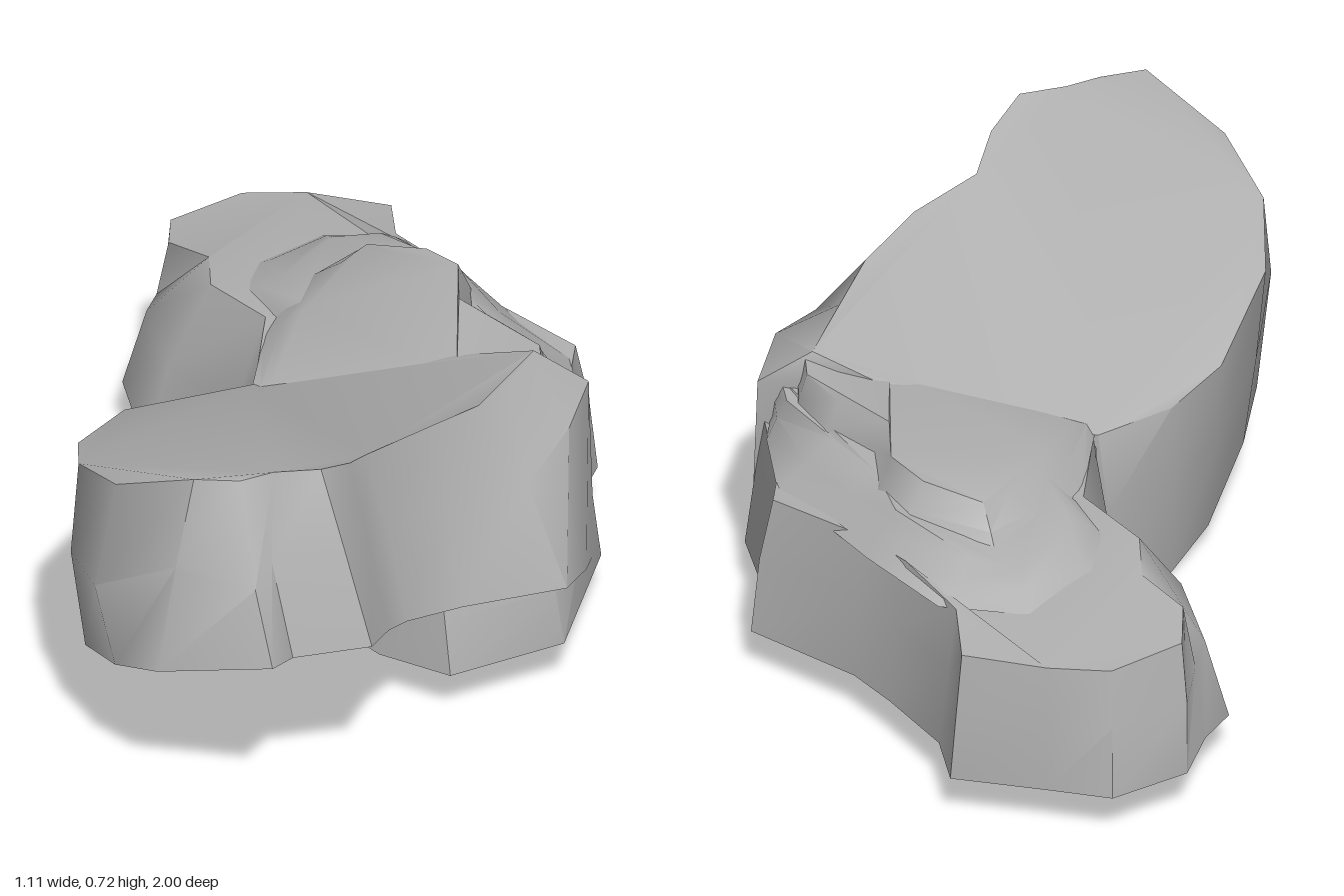
import * as THREE from 'three';
import { toCreasedNormals } from 'three/addons/utils/BufferGeometryUtils.js';

const stone = new THREE.MeshStandardMaterial({ color: 0xb0b0b0 });
stone.name = 'grey stone';

// A rock lofted through three rings: a base ring, a bulging waist and a top rim.
// Each row is [baseX, baseZ, topX, topY, topZ, (waistX, waistY, waistZ)].
function rock(name, rows, baseY, bulge) {
  const flat = rows.map(r => new THREE.Vector2(r[0], r[1]));
  if (THREE.ShapeUtils.area(flat) < 0) rows = [...rows].reverse();
  const base = rows.map(r => [r[0], baseY(r[0], r[1]), r[1]]);
  const top = rows.map(r => [r[2], r[3], r[4]]);
  const cx = top.reduce((s, p) => s + p[0], 0) / top.length;
  const cz = top.reduce((s, p) => s + p[2], 0) / top.length;
  const waist = rows.map((r, i) => {
    if (r.length > 5) return [r[5], r[6], r[7]];
    const m = base[i].map((v, k) => v * 0.45 + top[i][k] * 0.55);
    const d = Math.hypot(m[0] - cx, m[2] - cz);
    const push = bulge * (1 + 0.8 * Math.sin(i * 2.4)) / d;
    return [m[0] + (m[0] - cx) * push, m[1], m[2] + (m[2] - cz) * push];
  });

  const out = [];
  const n = rows.length;
  // Side walls
  for (const [lo, hi] of [[base, waist], [waist, top]]) {
    for (let i = 0; i < n; i++) {
      const j = (i + 1) % n;
      out.push(...lo[i], ...hi[i], ...lo[j], ...lo[j], ...hi[i], ...hi[j]);
    }
  }
  // Caps, each triangle turned to face up or down
  for (const [ring, up] of [[base, false], [top, true]]) {
    const pts = ring.map(p => new THREE.Vector2(p[0], p[2]));
    for (const [a, b, c] of THREE.ShapeUtils.triangulateShape(pts, [])) {
      const facesDown = THREE.ShapeUtils.area([pts[a], pts[b], pts[c]]) > 0;
      const order = facesDown === up ? [a, c, b] : [a, b, c];
      order.forEach(k => out.push(...ring[k]));
    }
  }
  const geo = new THREE.BufferGeometry();
  geo.setAttribute('position', new THREE.Float32BufferAttribute(out, 3));
  const mesh = new THREE.Mesh(toCreasedNormals(geo, 0.8), stone);
  mesh.name = name;
  return mesh;
}

// Underside of the slab: a tilted plane, levelled at its lowest edge
const slabUnderside = (x, z) => Math.max(0, 0.036 + 0.32 * z + 0.179 * x);

export function createModel() {
  const group = new THREE.Group();
  group.name = 'rockFormation';

  // Large slab, tilted up toward the front and down to its right rear
  group.add(rock('tiltedFrontSlab', [
    [0.08, 1.0, -0.02, 0.71, 0.84, 0.03, 0.51, 0.93],
    [0.10, 0.89, 0.04, 0.71, 0.79, 0.05, 0.54, 0.86],
    [0.25, 0.82, 0.13, 0.705, 0.75],
    [0.25, 0.65, 0.17, 0.67, 0.65],
    [0.27, 0.56, 0.18, 0.63, 0.54],
    [0.36, 0.44, 0.28, 0.62, 0.38],
    [0.55, 0.30, 0.35, 0.59, 0.22, 0.46, 0.44, 0.26],
    [0.55, 0.10, 0.38, 0.56, 0.08, 0.51, 0.48, 0.08],
    [0.53, -0.08, 0.40, 0.55, -0.10, 0.51, 0.48, -0.12],
    [0.18, 0.06, 0.26, 0.51, -0.13, 0.22, 0.30, -0.06],
    [0.00, -0.03, 0.05, 0.46, -0.14],
    [-0.13, -0.06, -0.08, 0.43, -0.12],
    [-0.22, -0.04, -0.19, 0.41, -0.09],
    [-0.31, 0.08, -0.32, 0.42, 0.03],
    [-0.36, 0.22, -0.40, 0.46, 0.15],
    [-0.39, 0.45, -0.44, 0.53, 0.43, -0.42, 0.32, 0.43],
    [-0.39, 0.60, -0.40, 0.59, 0.62, -0.41, 0.40, 0.65],
    [-0.28, 0.84, -0.29, 0.64, 0.78, -0.32, 0.44, 0.85],
    [-0.17, 0.95, -0.11, 0.72, 0.87],
  ], slabUnderside, 0.008));

  // Long flat-bottomed rock running to the back, with a sloping left flank
  group.add(rock('backRock', [
    [-0.56, -0.62, -0.38, 0.40, -0.62, -0.51, 0.26, -0.62],
    [-0.46, -0.36, -0.35, 0.41, -0.49, -0.42, 0.26, -0.40],
    [-0.25, -0.22, -0.21, 0.42, -0.36, -0.25, 0.26, -0.26],
    [-0.18, -0.04, -0.18, 0.40, -0.09],
    [-0.05, 0.20, 0.00, 0.26, 0.18],
    [0.18, 0.40, 0.18, 0.29, 0.36],
    [0.34, 0.46, 0.31, 0.30, 0.42],
    [0.54, 0.28, 0.49, 0.30, 0.24],
    [0.54, -0.10, 0.50, 0.38, -0.10],
    [0.45, -0.33, 0.43, 0.38, -0.33],
    [0.46, -0.46, 0.42, 0.385, -0.43],
    [0.22, -0.60, 0.20, 0.40, -0.57],
    [0.13, -0.69, 0.10, 0.41, -0.67],
    [0.00, -0.84, -0.03, 0.39, -0.81],
    [-0.05, -0.98, -0.07, 0.37, -0.96],
    [-0.25, -0.99, -0.25, 0.37, -0.98],
    [-0.39, -1.0, -0.38, 0.365, -0.96],
    [-0.52, -0.87, -0.50, 0.365, -0.82],
    [-0.53, -0.72, -0.48, 0.38, -0.70],
  ], () => 0.09, 0.006));

  // Smaller weathered layers stacked behind the slab
  group.add(rock('middleLayer', [
    [-0.32, -0.63, -0.19, 0.43, -0.60],
    [-0.32, -0.48, -0.20, 0.45, -0.49],
    [-0.21, -0.35, -0.14, 0.46, -0.37],
    [-0.19, -0.10, -0.15, 0.42, -0.08],
    [0.30, 0.00, 0.30, 0.47, -0.02],
    [0.49, -0.08, 0.47, 0.47, -0.08],
    [0.48, -0.18, 0.44, 0.47, -0.17],
    [0.42, -0.38, 0.32, 0.46, -0.29],
    [0.30, -0.50, 0.21, 0.47, -0.42],
    [0.19, -0.62, 0.14, 0.47, -0.57],
    [0.01, -0.79, -0.04, 0.45, -0.70],
    [-0.18, -0.79, -0.14, 0.43, -0.70],
  ], () => 0.38, 0.004));

  group.add(rock('upperLayer', [
    [-0.19, -0.52, -0.08, 0.49, -0.49],
    [-0.20, -0.30, -0.12, 0.48, -0.30],
    [-0.18, -0.06, -0.14, 0.43, -0.08],
    [0.25, 0.00, 0.25, 0.50, -0.05],
    [0.44, -0.08, 0.42, 0.535, -0.08],
    [0.43, -0.18, 0.40, 0.53, -0.16],
    [0.35, -0.29, 0.32, 0.52, -0.24],
    [0.24, -0.36, 0.20, 0.53, -0.32],
    [0.21, -0.50, 0.17, 0.53, -0.46],
    [0.13, -0.61, 0.09, 0.52, -0.53],
    [-0.09, -0.66, -0.04, 0.50, -0.56],
  ], () => 0.41, 0.004));

  return group;
}
